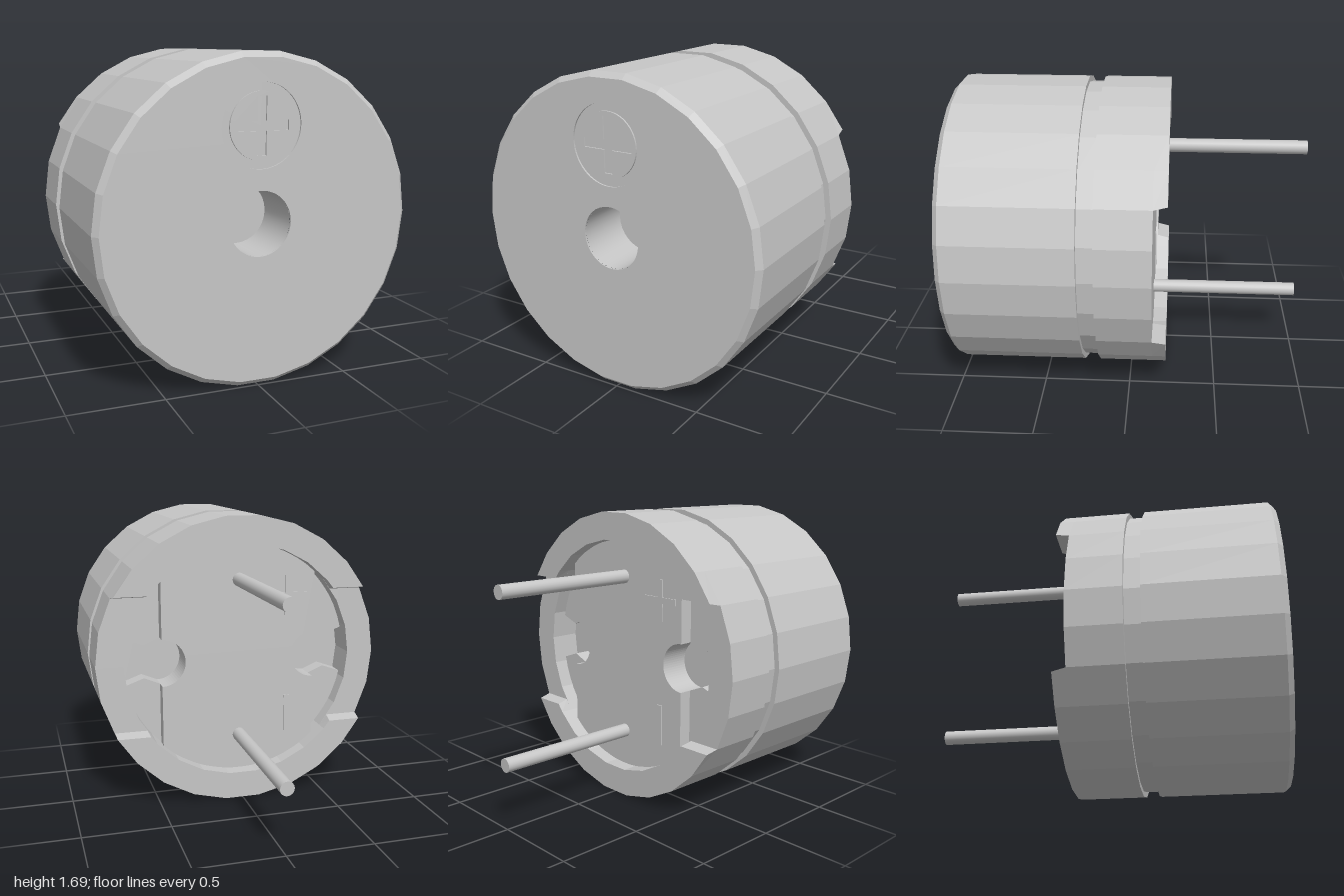
import * as THREE from 'three';
import { toCreasedNormals } from 'three/addons/utils/BufferGeometryUtils.js';

const SIDES = 26, R = 0.851, INNER = 0.69, CY = 0.845;
const NOTCH_Z = -0.135, BACK_Z = -0.21;              // rim heights at the back
const BOARD_Z = -0.125, SHELF_Z = -0.05, BASE_Z = 0.05; // levels inside the rim
const CHORD = 0.465, BITE = 0.14;                    // flat sides of the board and their round cut-outs

export function createModel() {
  const model = new THREE.Group();
  model.name = 'buzzer';
  const grey = new THREE.MeshStandardMaterial({ color: 0xc6c6c6 });
  grey.name = 'grey';

  const add = (name, geometry, x = 0, y = 0, z = 0) => {
    const mesh = new THREE.Mesh(geometry, grey);
    mesh.name = name;
    mesh.position.set(x, CY + y, z);
    model.add(mesh);
    return mesh;
  };
  // Profile of [radius, z] turned about the z axis
  const turned = (profile, sides, crease) => {
    const g = new THREE.LatheGeometry(profile.map(p => new THREE.Vector2(...p)), sides, Math.PI / 2);
    return toCreasedNormals(g.rotateX(Math.PI / 2), crease);
  };
  const corner = (r, k) => {
    const a = k * 2 * Math.PI / SIDES;
    return new THREE.Vector2(r * Math.cos(a), r * Math.sin(a));
  };
  const polygon = r => new THREE.Shape(Array.from({ length: SIDES }, (_, k) => corner(r, k)));
  const extrude = (shape, depth, curveSegments = 16) =>
    new THREE.ExtrudeGeometry(shape, { depth, bevelEnabled: false, curveSegments });
  const circleHole = (shape, y, r) => {
    const path = new THREE.Path();
    path.absarc(0, y, r, 0, Math.PI * 2, true);
    shape.holes.push(path);
  };
  // Outline of a plus sign with arms of length a and half width w
  const plusPoints = (a, w) => [
    [w, w], [w, a], [-w, a], [-w, w], [-a, w], [-a, -w],
    [-w, -w], [-w, -a], [w, -a], [w, -w], [a, -w], [a, w],
  ].map(p => new THREE.Vector2(...p));

  // Faceted case with front chamfer, groove and inner wall at the back
  add('case', turned([
    [INNER, BASE_Z], [INNER, NOTCH_Z], [R, NOTCH_Z], [R, 0.17], [0.82, 0.17],
    [0.82, 0.26], [R, 0.26], [R, 0.97], [0.822, 1],
  ], SIDES, 0.01));

  // Front face with sound hole and a sunken ring and plus
  const front = polygon(0.822);
  circleHole(front, 0, 0.167);
  circleHole(front, 0.487, 0.213);
  add('frontFace', extrude(front, 0.01, 32), 0, 0, 0.99);
  const disc = new THREE.Shape().absarc(0, 0, 0.17, 0, Math.PI * 2);
  disc.holes.push(new THREE.Path(plusPoints(0.145, 0.025)));
  add('markDisc', extrude(disc, 0.01, 32), 0, 0.487, 0.99);
  add('markFloor', new THREE.CircleGeometry(0.214, 48), 0, 0.487, 0.9905);
  add('soundHole', turned([[0.167, 0.99], [0.167, 0.7], [0, 0.7]], 32, 0.6));

  // Two raised rim arcs at the back, leaving notches left and right
  const edgeY = corner(R, 2).y;
  const edgeX = Math.sqrt(INNER ** 2 - edgeY ** 2) - 0.004;
  const points = [];
  for (let k = 2; k <= 11; k++) points.push(corner(R, k));
  points.push(new THREE.Vector2(-edgeX, edgeY));
  for (let k = 10; k >= 3; k--) points.push(corner(INNER, k));
  points.push(new THREE.Vector2(edgeX, edgeY));
  const arc = extrude(new THREE.Shape(points), NOTCH_Z - BACK_Z);
  const pos = arc.attributes.position;
  for (let i = 0; i < pos.count; i++) {
    // Slight taper of the notch walls
    if (pos.getZ(i) < 0.01 && pos.getY(i) < edgeY + 0.001) {
      pos.setY(i, edgeY + 0.016);
      pos.setX(i, pos.getX(i) - Math.sign(pos.getX(i)) * 0.008);
    }
  }
  arc.computeVertexNormals();
  add('upperRim', arc, 0, 0, BACK_Z);
  add('lowerRim', arc, 0, 0, BACK_Z).rotation.z = Math.PI;

  // Deep base behind the board
  add('backBase', new THREE.ShapeGeometry(polygon(INNER)), 0, 0, BASE_Z).rotation.y = Math.PI;

  // Back board with straight sides and a round bite in each
  const r = INNER - 0.004, a = Math.acos(CHORD / r), q = Math.PI / 2;
  const board = new THREE.Shape()
    .absarc(0, 0, r, a, Math.PI - a, false)
    .absarc(-CHORD, 0, BITE, q, -q, true)
    .absarc(0, 0, r, Math.PI + a, 2 * Math.PI - a, false)
    .absarc(CHORD, 0, BITE, -q, -3 * q, true);
  add('backBoard', extrude(board, BASE_Z - BOARD_Z), 0, 0, BOARD_Z);

  // Lower side shelves, split by flared channels
  const start = Math.asin(0.14 / r);
  for (const sx of [-1, 1]) {
    for (const sy of [-1, 1]) {
      const outline = [[CHORD, BITE], [0.56, 0.1]];
      for (let i = 0; i <= 6; i++) {
        const t = start + (a - start) * i / 6;
        outline.push([r * Math.cos(t), r * Math.sin(t)]);
      }
      const shape = new THREE.Shape(outline.map(([x, y]) => new THREE.Vector2(sx * x, sy * y)));
      add('sideShelf', extrude(shape, BASE_Z - SHELF_Z), 0, 0, SHELF_Z);
    }
  }

  // Polarity marks on the board
  const plus = new THREE.Shape(plusPoints(0.12, 0.018));
  add('backPlus', extrude(plus, 0.008), -0.3, 0.367, BOARD_Z - 0.007);
  add('backBar', new THREE.BoxGeometry(0.036, 0.24, 0.008), -0.3, -0.367, BOARD_Z - 0.003);

  // Two contact pins
  const pin = new THREE.CylinderGeometry(0.04, 0.04, 0.9, 20).rotateX(Math.PI / 2);
  add('upperPin', pin, 0, 0.472, -0.55);
  add('lowerPin', pin, 0, -0.472, -0.55);
  return model;
}
